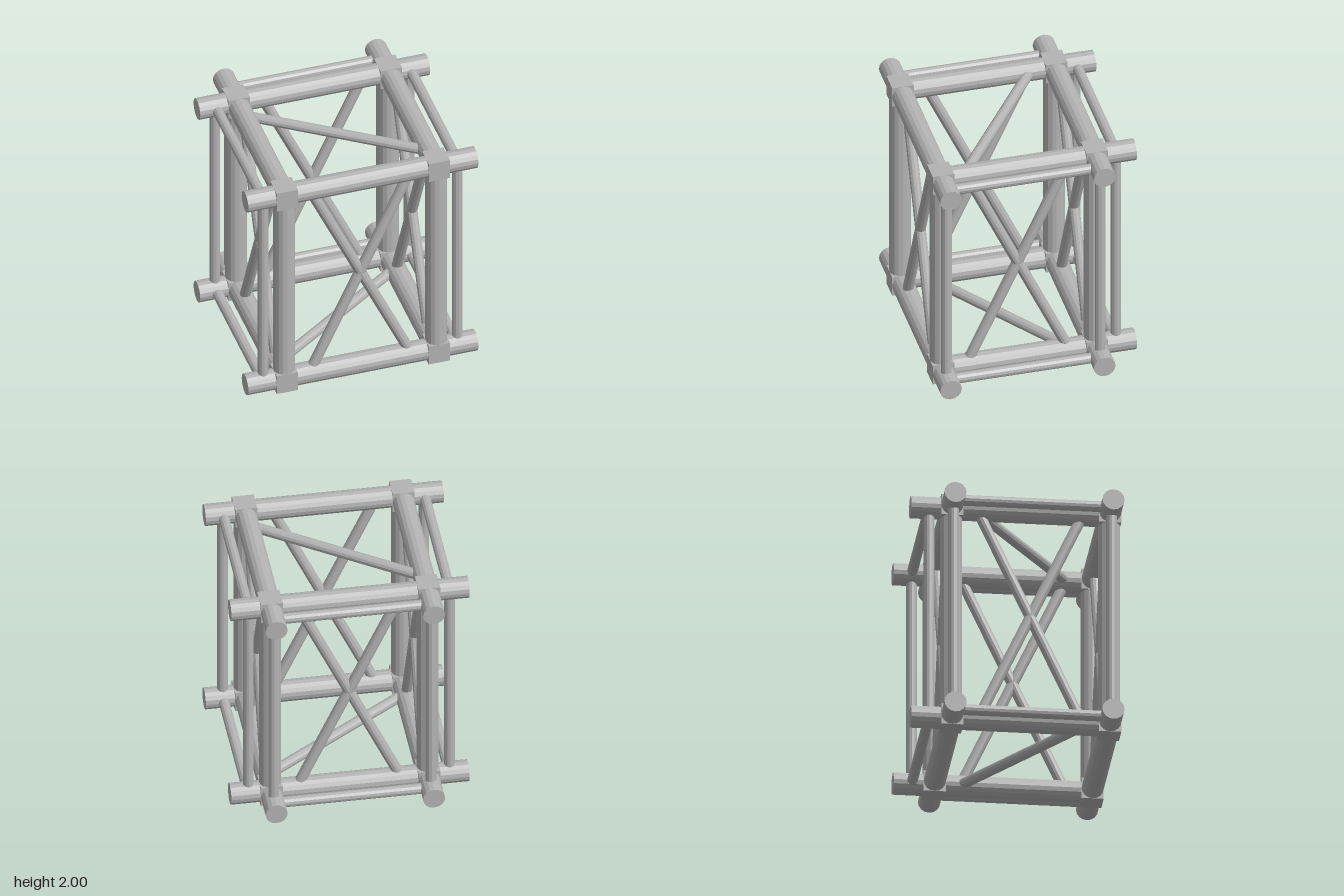
import * as THREE from 'three';

const R = 0.088;            // main tube radius
const r = 0.043;            // thin tube radius
const X = 0.63;             // post offset in x
const ZF = 0.745, ZB = -0.51; // front and back post rows
const YB = R, YT = 2 - R;   // bottom and top tube levels
const ZM = (ZF + ZB) / 2;   // middle between the rows

export function createModel() {
  const model = new THREE.Group();
  model.name = 'trussFrame';
  const steel = new THREE.MeshStandardMaterial({ color: 0xb4b4b4, flatShading: true });
  steel.name = 'steel grey';

  // Round bar between two points
  function bar(name, a, b, radius, sides = 16) {
    const from = new THREE.Vector3(...a), to = new THREE.Vector3(...b);
    const dir = to.clone().sub(from);
    const mesh = new THREE.Mesh(new THREE.CylinderGeometry(radius, radius, dir.length(), sides), steel);
    mesh.position.copy(from).add(to).multiplyScalar(0.5);
    mesh.quaternion.setFromUnitVectors(new THREE.Vector3(0, 1, 0), dir.normalize());
    mesh.name = name;
    model.add(mesh);
  }

  // Main posts
  for (const x of [-X, X])
    for (const z of [ZF, ZB]) bar('post', [x, YB, z], [x, YT, z], R);

  for (const y of [YB, YT]) {
    // Cross tubes with overhanging ends
    for (const z of [ZF, ZB]) bar('crossTube', [-0.953, y, z], [0.953, y, z], R);

    for (const x of [-X, X]) {
      // Side tubes, overhanging at the back
      bar('sideTube', [x, y, ZF], [x, y, -0.835], R);

      // Square corner blocks
      for (const z of [ZF, ZB]) {
        const block = new THREE.Mesh(new THREE.BoxGeometry(2 * R, 2 * R, 2 * R), steel);
        block.position.set(x, y, z);
        block.name = 'cornerBlock';
        model.add(block);
      }

      // Thin rails linking the side overhangs
      const xo = Math.sign(x) * 0.805;
      bar('sideRail', [xo, y, ZF], [xo, y, ZB], r, 12);
    }
    // Thin rail linking the back overhangs
    bar('backRail', [-X, y, -0.685], [X, y, -0.685], r, 12);
  }

  // Thin uprights between the overhangs
  for (const s of [-1, 1]) {
    for (const z of [ZF, ZB]) bar('sideUpright', [s * 0.805, YB, z], [s * 0.805, YT, z], r, 12);
    bar('backUpright', [s * X, YB, -0.685], [s * X, YT, -0.685], r, 12);
  }

  // Crossed braces in the four upright faces
  const d = 0.42;
  for (const s of [-1, 1]) {
    for (const z of [ZF, ZB]) bar('faceBrace', [-s * d, YB, z], [s * d, YT, z], r, 12);
    for (const x of [-X, X]) bar('sideBrace', [x, YB, ZM - s * d], [x, YT, ZM + s * d], r, 12);
  }

  // Single braces across the top and bottom, in opposite directions
  const h = 0.44;
  bar('topBrace', [-X, YT, ZM - h], [X, YT, ZM + h], r, 12);
  bar('bottomBrace', [-X, YB, ZM + h], [X, YB, ZM - h], r, 12);

  return model;
}
